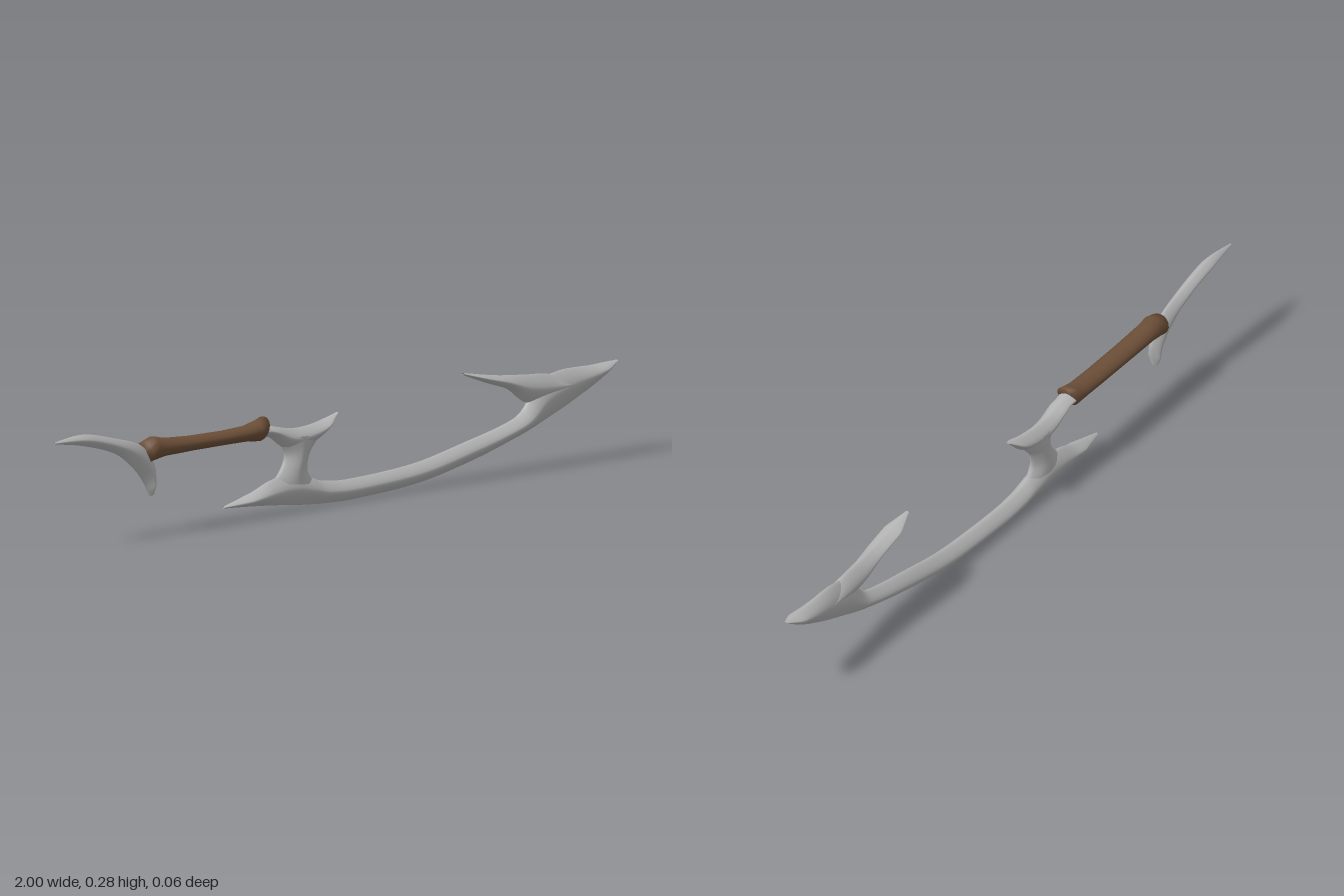
import * as THREE from 'three';
import { mergeVertices } from 'three/addons/utils/BufferGeometryUtils.js';

// Half cross-sections: [position across the part, relative thickness]
const BLADE = [[0, 0], [0.05, 0.28], [0.25, 0.72], [0.4, 0.95], [0.5, 1], [0.6, 0.95], [0.75, 0.72], [0.95, 0.28], [1, 0]];
const ROUND = Array.from({ length: 9 }, (_, i) => {
  const a = (i / 8) * Math.PI;
  return [0.5 - 0.5 * Math.cos(a), Math.sin(a)];
});

// Loft between two outlines; stations are [x1, y1, x2, y2], thinning towards the tips
function loft(stations, half, section, steps, smooth) {
  const pts = (k) => stations.map((s) => new THREE.Vector2(s[k], s[k + 1]));
  const curveA = new THREE.SplineCurve(pts(0));
  const curveB = new THREE.SplineCurve(pts(2));
  const rows = [];
  for (let i = 0; i <= steps; i++) {
    if (smooth) {
      rows.push([curveA.getPoint(i / steps), curveB.getPoint(i / steps)]);
    } else if (i < stations.length) {
      rows.push([curveA.points[i], curveB.points[i]]);
    }
  }
  const pos = [];
  const index = [];
  const n = section.length;
  for (const side of [1, -1]) {
    const base = pos.length / 3;
    rows.forEach(([a, b], i) => {
      const z = half * Math.min(1, a.distanceTo(b) / 0.03) * side;
      section.forEach(([s, t], j) => {
        pos.push(a.x + (b.x - a.x) * s, a.y + (b.y - a.y) * s, z * t);
        if (i === 0 || j === 0) return;
        const d = base + i * n + j;
        const c = d - 1, q = d - n, p = q - 1;
        if (side > 0) index.push(p, c, q, q, c, d);
        else index.push(p, q, c, q, d, c);
      });
    });
  }
  const geo = new THREE.BufferGeometry();
  geo.setAttribute('position', new THREE.Float32BufferAttribute(pos, 3));
  geo.setIndex(index);
  const out = smooth ? geo : mergeVertices(geo, 1e-5);
  out.computeVertexNormals();
  return out;
}

export function createModel() {
  const steel = new THREE.MeshStandardMaterial({ color: 0xb4b4b4, side: THREE.DoubleSide });
  steel.name = 'steel';
  const leather = new THREE.MeshStandardMaterial({ color: 0x6b4e37, side: THREE.DoubleSide });
  leather.name = 'brown leather';
  const group = new THREE.Group();
  const add = (name, geo, mat) => {
    const mesh = new THREE.Mesh(geo, mat);
    mesh.name = name;
    group.add(mesh);
  };

  // Long curved blade, from the rear spike to the front tip
  add('blade', loft([
    [-0.4, 0.039, -0.4, 0.034], [-0.3, 0.062, -0.3, 0.027], [-0.235, 0.085, -0.22, 0.02],
    [-0.165, 0.095, -0.15, 0.012], [-0.1, 0.078, -0.08, 0.006], [-0.045, 0.061, -0.03, 0.003],
    [0.06, 0.055, 0.07, 0.002], [0.275, 0.066, 0.29, 0.014], [0.46, 0.098, 0.48, 0.048],
    [0.6, 0.126, 0.62, 0.083], [0.66, 0.152, 0.69, 0.103], [0.71, 0.215, 0.76, 0.126],
    [0.79, 0.238, 0.84, 0.156], [0.9, 0.238, 0.92, 0.192], [0.995, 0.24, 0.992, 0.234],
  ], 0.026, BLADE, 84, true), steel);

  // Barb sweeping back from the front of the blade
  add('frontBarb', loft([
    [0.45, 0.273, 0.45, 0.267], [0.51, 0.262, 0.53, 0.238], [0.58, 0.251, 0.61, 0.211],
    [0.67, 0.242, 0.668, 0.172], [0.75, 0.234, 0.75, 0.165], [0.85, 0.205, 0.85, 0.197],
  ], 0.026, BLADE, 36, true), steel);

  // Neck joining the blade to the guard
  add('neck', loft([
    [-0.218, 0.19, -0.055, 0.185], [-0.198, 0.17, -0.075, 0.165], [-0.184, 0.14, -0.1, 0.135],
    [-0.2, 0.105, -0.105, 0.095], [-0.232, 0.075, -0.075, 0.06],
  ], 0.026, BLADE, 24, true), steel);

  // Guard running from the grip to a short forward point
  add('guard', loft([
    [-0.3, 0.235, -0.3, 0.2], [-0.235, 0.223, -0.24, 0.195], [-0.155, 0.208, -0.17, 0.155],
    [-0.07, 0.213, -0.07, 0.17], [0.003, 0.229, -0.002, 0.226],
  ], 0.026, BLADE, 28, true), steel);

  // Crescent at the end of the grip
  add('pommelCrescent', loft([
    [-1, 0.275, -1, 0.27], [-0.9, 0.283, -0.9, 0.254], [-0.79, 0.26, -0.79, 0.222],
    [-0.69, 0.228, -0.725, 0.178], [-0.645, 0.17, -0.685, 0.135], [-0.652, 0.105, -0.662, 0.097],
  ], 0.018, BLADE, 40, true), steel);

  // Wrapped grip with flared, slanted and closed ends
  add('grip', loft([
    [-0.682, 0.21, -0.682, 0.21], [-0.684, 0.238, -0.672, 0.185], [-0.65, 0.248, -0.655, 0.188],
    [-0.61, 0.239, -0.62, 0.194], [-0.52, 0.233, -0.52, 0.196], [-0.4, 0.231, -0.4, 0.196],
    [-0.32, 0.234, -0.32, 0.195], [-0.285, 0.242, -0.295, 0.191], [-0.257, 0.25, -0.28, 0.19],
    [-0.27, 0.218, -0.27, 0.218],
  ], 0.03, ROUND, 9, false), leather);

  return group;
}
